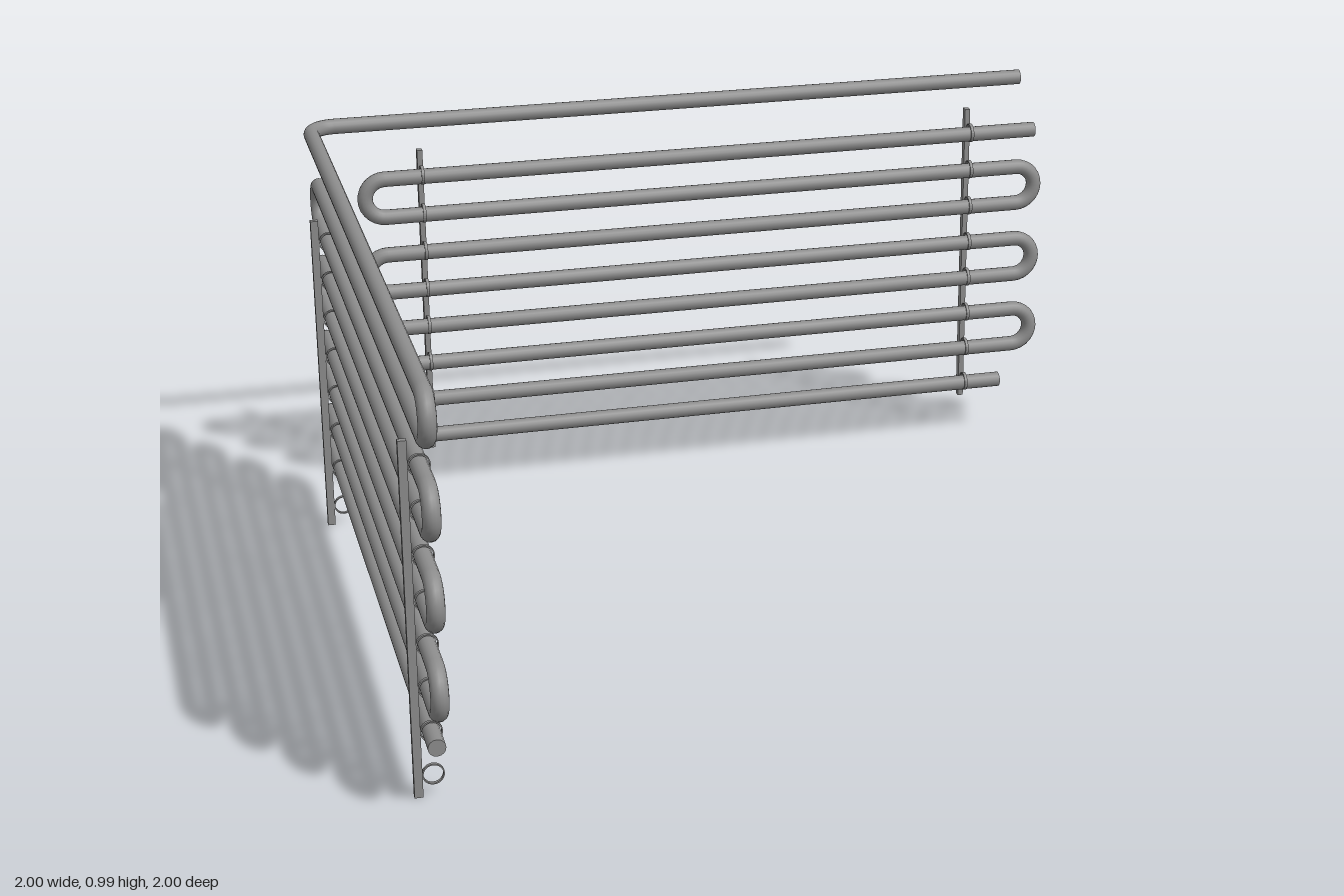
import * as THREE from 'three';

const R = 0.0198;       // pipe radius
const PITCH = 0.1022;   // distance between rows
const BEND = PITCH / 2; // return bend radius
const material = new THREE.MeshStandardMaterial({ color: 0x8c8c8c });

// Curve that visits listed points exactly, so straights stay straight and bends stay round
class PipePath extends THREE.Curve {
  constructor(points) {
    super();
    this.points = points;
  }
  getPointAt(u, target = new THREE.Vector3()) {
    return target.copy(this.points[Math.round(u * (this.points.length - 1))]);
  }
  getTangentAt(u, target = new THREE.Vector3()) {
    const p = this.points, n = p.length - 1, i = Math.round(u * n);
    target.set(0, 0, 0);
    if (i > 0) target.add(p[i].clone().sub(p[i - 1]).normalize());
    if (i < n) target.add(p[i + 1].clone().sub(p[i]).normalize());
    return target.normalize();
  }
}

function add(parent, name, geometry) {
  const mesh = new THREE.Mesh(geometry, material);
  mesh.name = name;
  parent.add(mesh);
  return mesh;
}

// Swept pipe with closed ends
function addPipe(parent, name, points) {
  const path = new PipePath(points);
  const pipe = add(parent, name, new THREE.TubeGeometry(path, points.length - 1, R, 16));
  [0, 1].forEach((u) => {
    const cap = add(pipe, 'pipeEnd', new THREE.CircleGeometry(R, 16));
    const outward = path.getTangentAt(u).multiplyScalar(u ? 1 : -1);
    cap.position.copy(path.getPointAt(u));
    cap.quaternion.setFromUnitVectors(new THREE.Vector3(0, 0, 1), outward);
  });
}

// Serpentine [along, height] points going down from the first row;
// bends alternate between the two ends, starting at firstEnd
function serpentine(rows, topY, firstEnd, secondEnd) {
  const points = [];
  for (let i = 0; i < rows - 1; i++) {
    const end = i % 2 ? secondEnd : firstEnd;
    const side = Math.sign(i % 2 ? secondEnd - firstEnd : firstEnd - secondEnd);
    for (let k = 0; k <= 14; k++) {
      const a = Math.PI / 2 - (Math.PI * k) / 14;
      points.push([end + side * BEND * Math.cos(a), topY - i * PITCH - BEND + BEND * Math.sin(a)]);
    }
  }
  return points;
}

// Flat clip ring with a small wall thickness, axis along z
function ringGeometry() {
  const shape = new THREE.Shape().absarc(0, 0, 0.0245, 0, Math.PI * 2);
  shape.holes.push(new THREE.Path().absarc(0, 0, 0.0215, 0, Math.PI * 2, true));
  return new THREE.ExtrudeGeometry(shape, { depth: 0.008, bevelEnabled: false, curveSegments: 12 })
    .translate(0, 0, -0.004);
}

// Upright bar with eight clip rings; pipes run along local x and the bar stands behind them
function makePost(name) {
  const post = new THREE.Group();
  post.name = name;
  const bar = add(post, 'bar', new THREE.BoxGeometry(0.014, 0.825, 0.019));
  bar.position.set(0, 0.4125, -0.0335);
  const ring = ringGeometry().rotateY(Math.PI / 2);
  for (let i = 0; i < 8; i++) {
    add(post, 'clipRing', ring).position.y = 0.051 + i * PITCH;
  }
  return post;
}

export function createModel() {
  const model = new THREE.Group();
  model.name = 'pipeCoilRack';

  // Back coil, eight rows along x
  const backZ = -0.851, backY = 0.858;
  const back = [[0.975, backY], ...serpentine(8, backY, -0.785, 0.929), [0.895, backY - 7 * PITCH]];
  addPipe(model, 'backCoil', back.map(([x, y]) => new THREE.Vector3(x, y, backZ)));

  // Side coil, nine rows along z, its top row turning the corner into a long rail
  const sideX = -0.956, topY = 0.97, railZ = -0.98, corner = 0.065;
  const side = [new THREE.Vector3(0.975, topY, railZ)];
  for (let k = 0; k <= 10; k++) {
    const a = (Math.PI / 2) * (k / 10);
    side.push(new THREE.Vector3(
      sideX + corner - corner * Math.sin(a), topY, railZ + corner - corner * Math.cos(a)));
  }
  [...serpentine(9, topY, 0.929, -0.798), [0.903, topY - 8 * PITCH]]
    .forEach(([z, y]) => side.push(new THREE.Vector3(sideX, y, z)));
  addPipe(model, 'sideCoilAndTopRail', side);

  // Support posts
  [-0.687, 0.795].forEach((x) => {
    const post = makePost('backPost');
    post.position.set(x, 0.095, backZ);
    model.add(post);
  });
  [0.825, -0.657].forEach((z) => {
    const post = makePost('sidePost');
    post.rotation.y = Math.PI / 2;
    post.position.set(sideX, 0, z);
    model.add(post);
  });
  return model;
}
